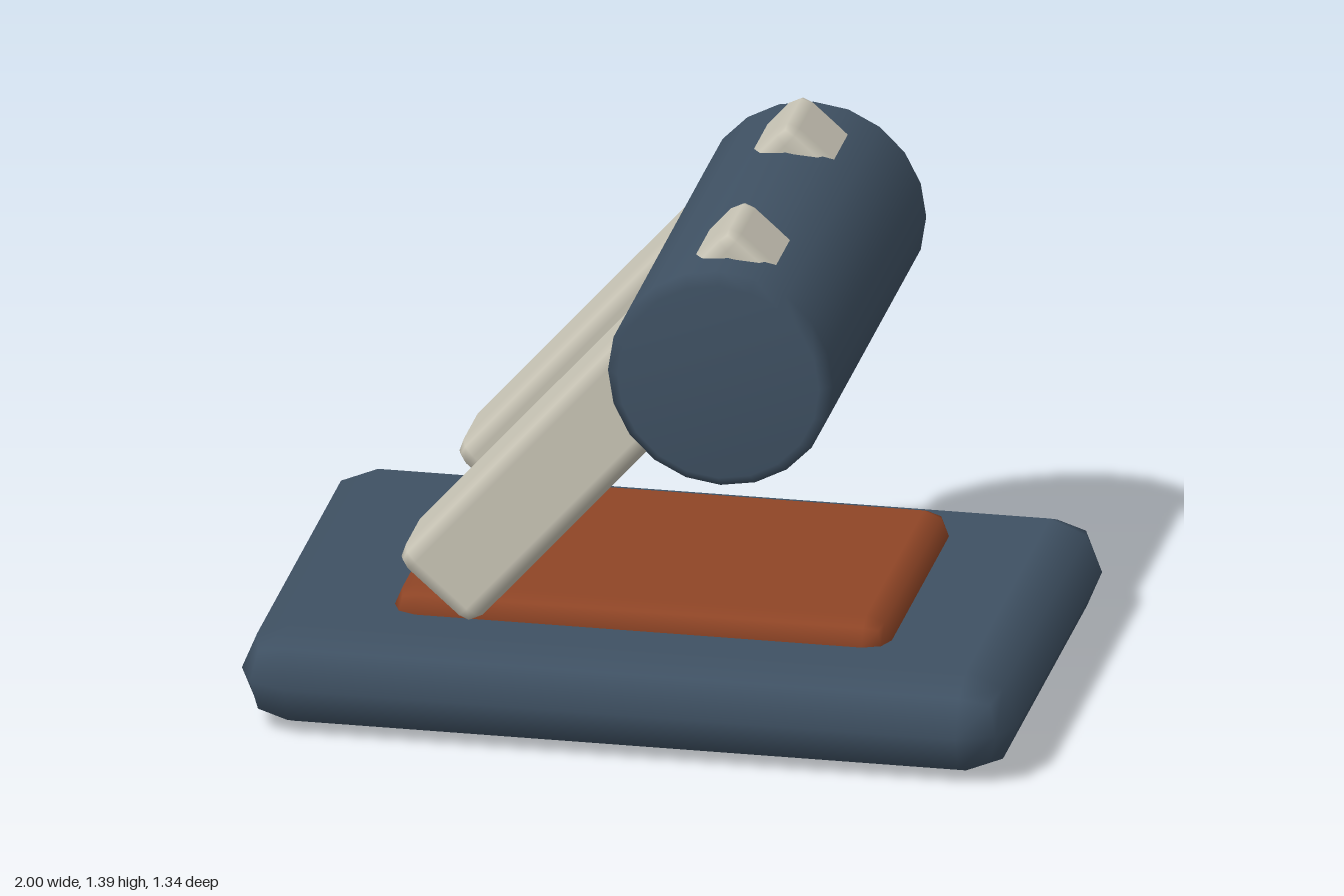
import * as THREE from 'three';
import { RoundedBoxGeometry } from 'three/addons/geometries/RoundedBoxGeometry.js';

export function createModel() {
  const model = new THREE.Group();
  const slate = new THREE.MeshStandardMaterial({ color: 0x3f5163 });
  const rust = new THREE.MeshStandardMaterial({ color: 0x8f4526 });
  const cream = new THREE.MeshStandardMaterial({ color: 0xc9c5b6 });

  const add = (name, geometry, material, x, y, z) => {
    const mesh = new THREE.Mesh(geometry, material);
    mesh.name = name;
    mesh.position.set(x, y, z);
    model.add(mesh);
    return mesh;
  };

  // Base slab with fully rounded rim, and the pad sunk halfway into its top
  add('base', new RoundedBoxGeometry(2, 0.27, 1.34, 1, 0.135), slate, 0, 0.135, 0);
  add('pad', new RoundedBoxGeometry(1.28, 0.13, 0.86, 1, 0.065), rust, 0, 0.27, 0);

  // Two slanted arms that run from the pad through the roller
  const armGeometry = new RoundedBoxGeometry(1.3, 0.265, 0.265, 1, 0.045);
  for (const [name, side] of [['frontArm', 1], ['backArm', -1]]) {
    const arm = add(name, armGeometry, cream, -0.093, 0.836, side * 0.37);
    arm.rotation.z = THREE.MathUtils.degToRad(48.5);
  }

  // Roller lying along z, with chamfered ends
  const r = 0.29, h = 0.625, c = 0.03;
  const profile = [[0, -h], [r - c, -h], [r, c - h], [r, h - c], [r - c, h], [0, h]]
    .map(([x, y]) => new THREE.Vector2(x, y));
  const roller = add('roller', new THREE.LatheGeometry(profile, 20), slate, 0.245, 1.04, 0);
  roller.rotation.x = Math.PI / 2;

  return model;
}
